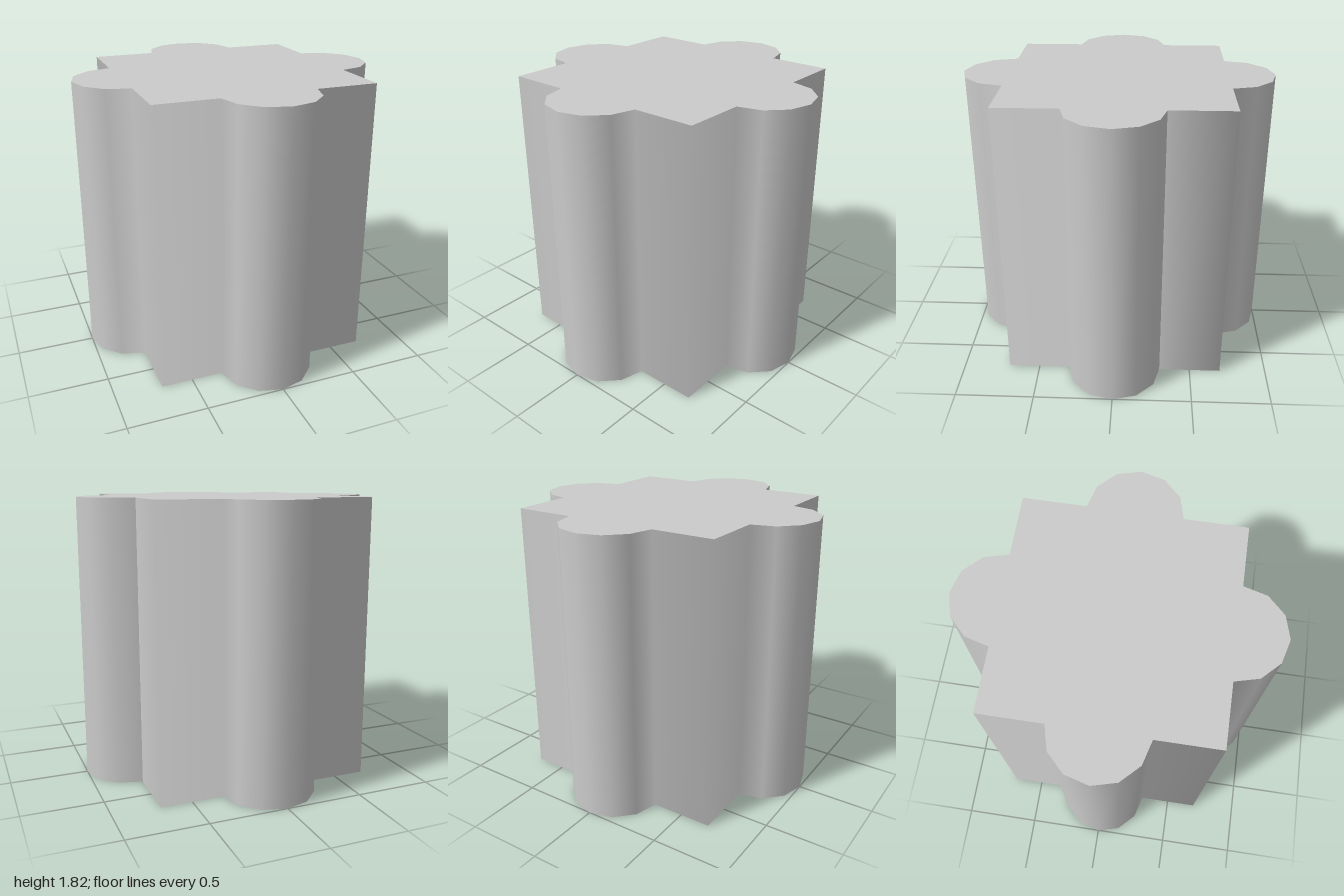
import * as THREE from 'three';

const HEIGHT = 1.82;
const HALF = 0.7;   // half width of the square core
const LOBE = 0.3;   // radius of the half-round lobes
const STEPS = 6;    // facets per lobe

// Closed plan outline (x, z): a lobe then a square corner, turned four times
function planOutline() {
  const points = [];
  for (let side = 0; side < 4; side++) {
    const quarter = [];
    for (let i = 0; i <= STEPS; i++) {
      const a = -Math.PI / 2 + (i / STEPS) * Math.PI;
      quarter.push(new THREE.Vector2(HALF + LOBE * Math.cos(a), LOBE * Math.sin(a)));
    }
    quarter.push(new THREE.Vector2(HALF, HALF));
    const origin = new THREE.Vector2();
    points.push(...quarter.map(p => p.rotateAround(origin, side * Math.PI / 2)));
  }
  return points;
}

// Smooth-shaded wall running around the outline, with one seam at its start
function wallGeometry(outline) {
  const loop = [...outline, outline[0]];
  const segments = outline.map((p, i) => {
    const d = loop[i + 1].clone().sub(p).normalize();
    return new THREE.Vector2(d.y, -d.x);
  });
  const positions = [], normals = [], index = [];
  loop.forEach((p, i) => {
    const before = segments[Math.max(i - 1, 0)];
    const after = segments[Math.min(i, segments.length - 1)];
    const n = before.clone().add(after).normalize();
    positions.push(p.x, 0, p.y, p.x, HEIGHT, p.y);
    normals.push(n.x, 0, n.y, n.x, 0, n.y);
    if (i < outline.length) {
      const b = i * 2;
      index.push(b + 2, b, b + 1, b + 2, b + 1, b + 3);
    }
  });
  const geometry = new THREE.BufferGeometry();
  geometry.setAttribute('position', new THREE.Float32BufferAttribute(positions, 3));
  geometry.setAttribute('normal', new THREE.Float32BufferAttribute(normals, 3));
  geometry.setIndex(index);
  return geometry;
}

export function createModel() {
  const group = new THREE.Group();
  group.name = 'lobedColumn';
  const material = new THREE.MeshStandardMaterial({ color: 0xcccccc });
  const outline = planOutline();
  const add = (name, geometry) => {
    const mesh = new THREE.Mesh(geometry, material);
    mesh.name = name;
    group.add(mesh);
    return mesh;
  };

  add('wall', wallGeometry(outline));

  // Flat end faces
  const shape = new THREE.Shape(outline);
  add('bottomFace', new THREE.ShapeGeometry(shape).rotateX(Math.PI / 2));
  add('topFace', new THREE.ShapeGeometry(shape).rotateX(-Math.PI / 2).translate(0, HEIGHT, 0));

  return group;
}
